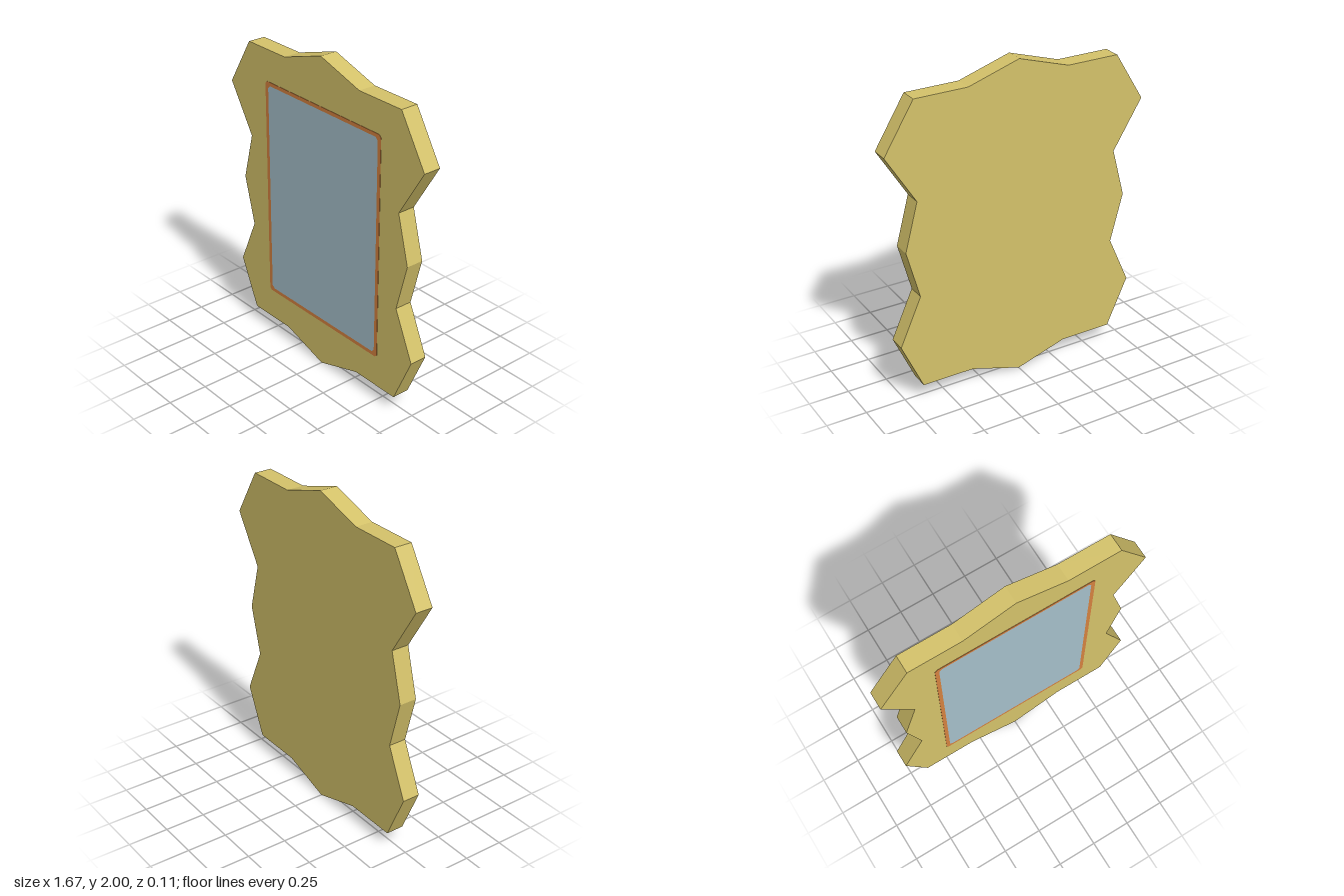
import * as THREE from 'three';

const DEPTH = 0.11;
const gold = new THREE.MeshStandardMaterial({ name: 'gold', color: 0xd4c26a });
const copper = new THREE.MeshStandardMaterial({ name: 'copper', color: 0xd4813f });
const glassBlue = new THREE.MeshStandardMaterial({ name: 'glassBlue', color: 0xa5bfc9 });

// Right half of the scalloped outline, top to bottom
const HALF = [
  [0, 2], [0.32, 1.9], [0.65, 1.9], [0.835, 1.6], [0.65, 1.3], [0.73, 1],
  [0.65, 0.7], [0.785, 0.4], [0.65, 0.1], [0.32, 0.1], [0, 0],
];

const toPoints = (list) => list.map(([x, y]) => new THREE.Vector2(x, y));

// Upright rectangle centred on y = 1 with clipped corners
function clippedRect(w, h, c) {
  return toPoints([
    [w - c, 1 - h], [w, 1 - h + c], [w, 1 + h - c], [w - c, 1 + h],
    [c - w, 1 + h], [-w, 1 + h - c], [-w, 1 - h + c], [c - w, 1 - h],
  ]);
}

function extrude(name, shape, depth, z, material) {
  const geometry = new THREE.ExtrudeGeometry(shape, { depth, bevelEnabled: false });
  const mesh = new THREE.Mesh(geometry, material);
  mesh.name = name;
  mesh.position.z = z;
  return mesh;
}

export function createModel() {
  const group = new THREE.Group();
  group.name = 'wallMirror';

  // Mirrored outline for the thick frame body
  const mirrored = HALF.slice(1, -1).reverse().map(([x, y]) => [-x, y]);
  const body = new THREE.Shape(toPoints([...HALF, ...mirrored]));
  group.add(extrude('frameBody', body, DEPTH, -DEPTH / 2, gold));

  // Thin border strip around the mirror
  const border = new THREE.Shape(clippedRect(0.5, 0.703, 0.015));
  const opening = clippedRect(0.475, 0.68, 0.018);
  border.holes.push(new THREE.Path(opening));
  group.add(extrude('mirrorBorder', border, 0.002, DEPTH / 2, copper));

  // Mirror pane filling the border
  group.add(extrude('mirrorPane', new THREE.Shape(opening), 0.002, DEPTH / 2, glassBlue));

  return group;
}
